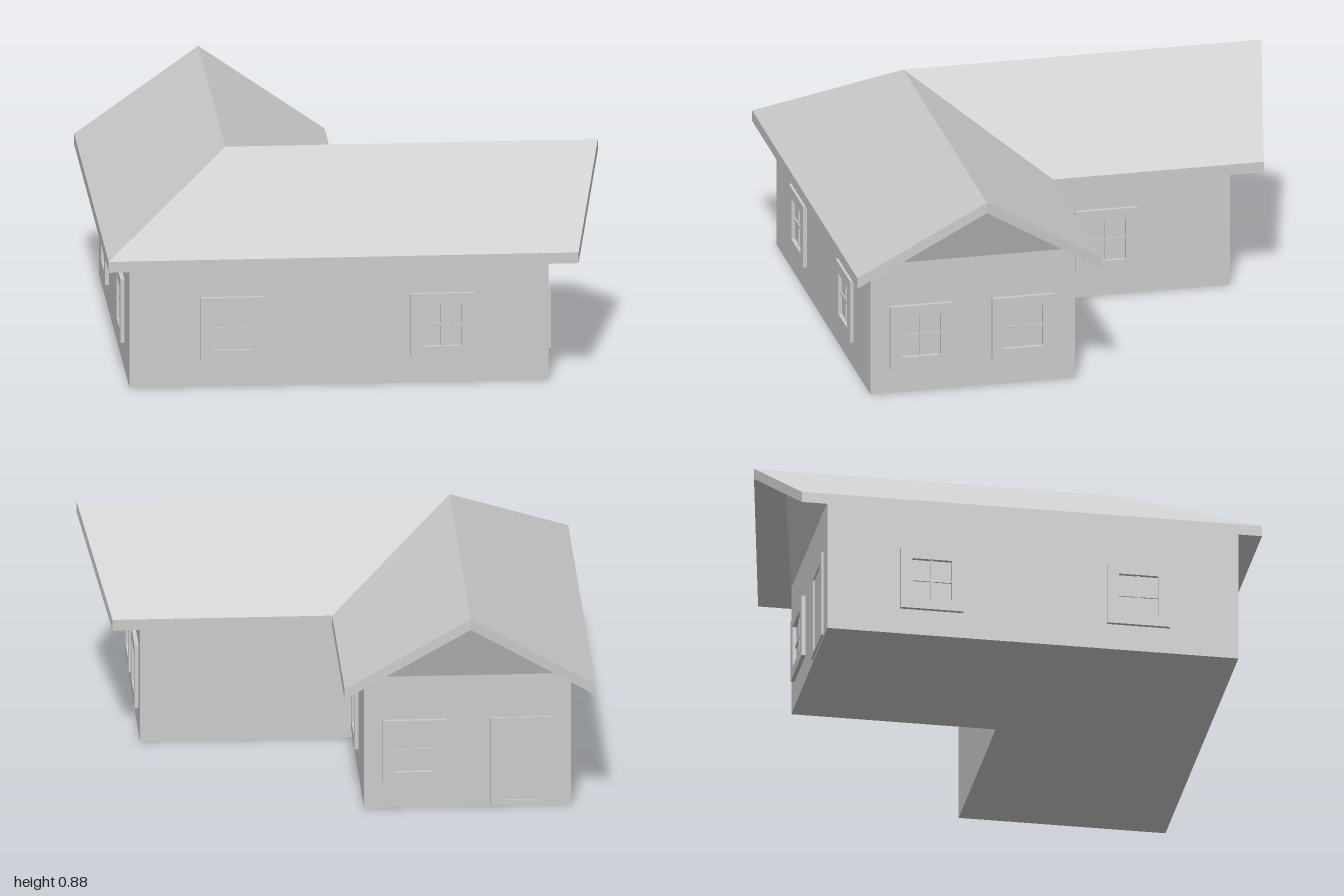
import * as THREE from 'three';

const material = new THREE.MeshStandardMaterial({ color: 0xcccccc, flatShading: true, side: THREE.DoubleSide });

function mesh(name, geometry) {
  const m = new THREE.Mesh(geometry, material);
  m.name = name;
  return m;
}

// Joins closed cross-sections in order and closes both ends with the given polygons
function loft(sections, caps) {
  const pos = [];
  const fan = (pts) => {
    for (let i = 1; i < pts.length - 1; i++) pos.push(...pts[0], ...pts[i], ...pts[i + 1]);
  };
  const n = sections[0].length;
  for (let s = 0; s < sections.length - 1; s++) {
    const a = sections[s], b = sections[s + 1];
    for (let j = 0; j < n; j++) {
      const k = (j + 1) % n;
      fan([a[j], a[k], b[k], b[j]]);
    }
  }
  const last = sections[sections.length - 1];
  for (const cap of caps) {
    fan([...cap].reverse().map((i) => sections[0][i]));
    fan(cap.map((i) => last[i]));
  }
  const g = new THREE.BufferGeometry();
  g.setAttribute('position', new THREE.Float32BufferAttribute(pos, 3));
  g.computeVertexNormals();
  return g;
}

// Plan stations: outer edge, ridge and inner edge as [x, z], at one end, the corner and the other end
const roofPlan = [
  [[0.885, 0.985], [1, 0.48], [0.885, -0.02]],
  [[-1, 0.985], [-0.495, 0.48], [0.005, -0.02]],
  [[-1, -0.885], [-0.495, -0.99], [0.005, -0.885]],
];
const wallPlan = [
  [[0.77, 0.905], [0.868, 0.48], [0.77, 0.065]],
  [[-0.91, 0.905], [-0.495, 0.48], [-0.08, 0.065]],
  [[-0.91, -0.765], [-0.495, -0.863], [-0.08, -0.765]],
];
const at = ([x, z], y) => [x, y, z];

// Rectangular surround with an opening, standing out from the wall
function surround(w, h, ow, oh, oy, depth) {
  const s = new THREE.Shape();
  s.moveTo(-w / 2, -h / 2).lineTo(w / 2, -h / 2).lineTo(w / 2, h / 2).lineTo(-w / 2, h / 2).closePath();
  const p = new THREE.Path();
  p.moveTo(-ow / 2, oy - oh / 2).lineTo(-ow / 2, oy + oh / 2).lineTo(ow / 2, oy + oh / 2).lineTo(ow / 2, oy - oh / 2).closePath();
  s.holes.push(p);
  return new THREE.ExtrudeGeometry(s, { depth, bevelEnabled: false });
}

function createWindow() {
  const g = new THREE.Group();
  g.name = 'window';
  g.add(mesh('windowFrame', surround(0.255, 0.263, 0.16, 0.175, 0, 0.016)));
  const upright = mesh('windowUprightBar', new THREE.BoxGeometry(0.012, 0.175, 0.006));
  const cross = mesh('windowCrossBar', new THREE.BoxGeometry(0.16, 0.012, 0.006));
  upright.position.z = cross.position.z = 0.003;
  g.add(upright, cross);
  return g;
}

function createDoor() {
  const g = new THREE.Group();
  g.name = 'door';
  g.add(mesh('doorFrame', surround(0.24, 0.365, 0.16, 0.315, -0.01, 0.009)));
  const leaf = mesh('doorLeaf', new THREE.BoxGeometry(0.16, 0.315, 0.002));
  leaf.position.set(0, -0.01, 0.001);
  g.add(leaf);
  return g;
}

export function createModel() {
  const house = new THREE.Group();
  house.name = 'house';

  // L-shaped walls with gables leaning outward
  house.add(mesh('walls', loft(wallPlan.map(([o, r, i]) => [
    at(o, 0), at(o, 0.556), at(r, 0.829), at(i, 0.556), at(i, 0),
  ]), [[0, 1, 3, 4], [1, 2, 3]])));

  // Mitred roof slab with pointed overhangs
  house.add(mesh('roof', loft(roofPlan.map(([o, r, i]) => [
    at(o, 0.55), at(r, 0.875), at(i, 0.55), at(i, 0.505), at(r, 0.83), at(o, 0.505),
  ]), [[0, 1, 4, 5], [1, 2, 3, 4]])));

  // Windows: x, z and facing angle
  const windows = [
    [-0.498, 0.905, 0], [0.342, 0.905, 0],
    [-0.91, 0.498, -Math.PI / 2], [-0.91, -0.342, -Math.PI / 2],
    [0.77, 0.7, Math.PI / 2], [0.77, 0.28, Math.PI / 2],
    [-0.08, -0.255, Math.PI / 2],
    [-0.28, -0.765, Math.PI],
  ];
  for (const [x, z, angle] of windows) {
    const w = createWindow();
    w.position.set(x, 0.241, z);
    w.rotation.y = angle;
    house.add(w);
  }

  // Door in the rear gable end
  const door = createDoor();
  door.position.set(-0.705, 0.192, -0.765);
  door.rotation.y = Math.PI;
  house.add(door);

  return house;
}
